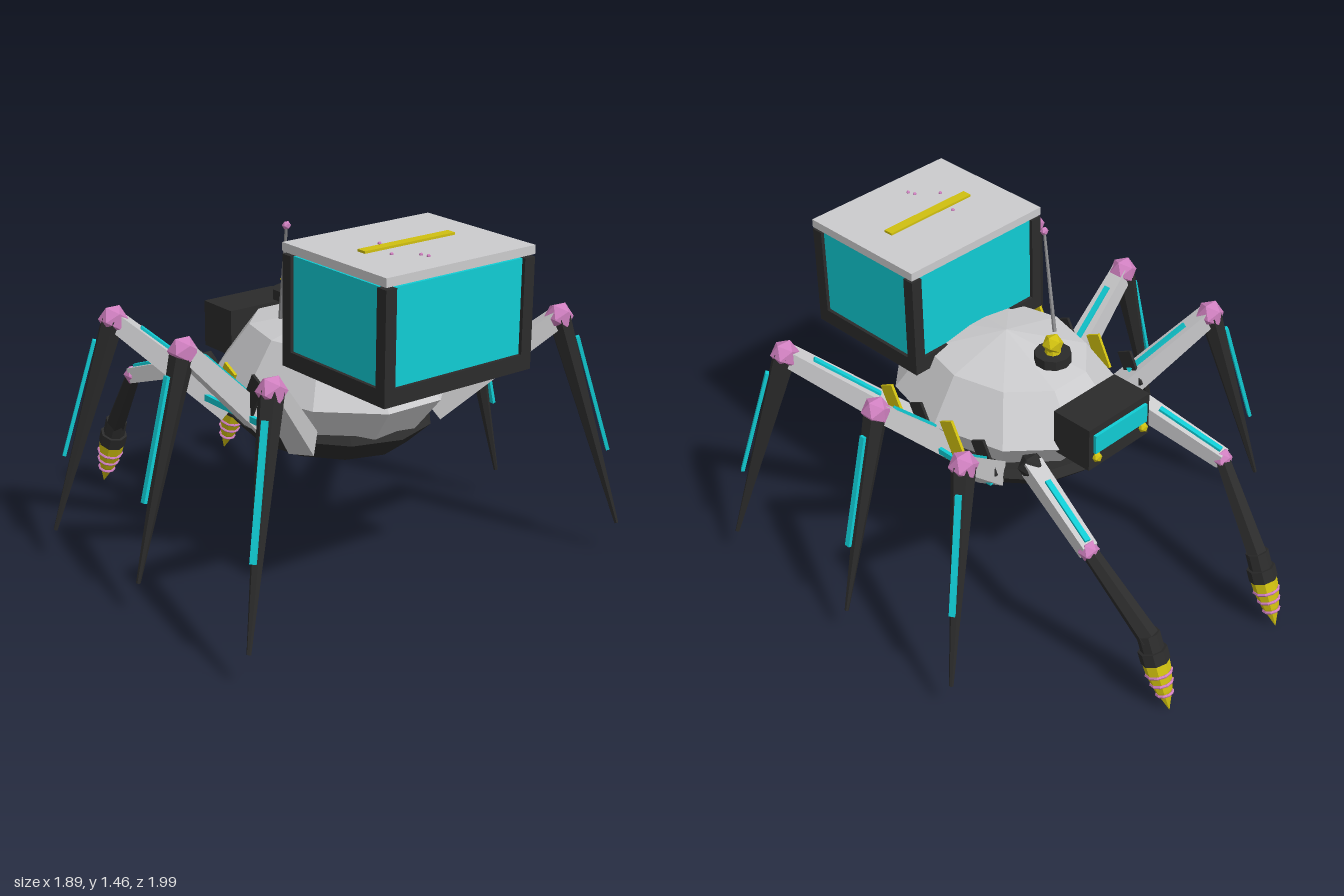
import * as THREE from 'three';

const mat = (name, color) => {
  const m = new THREE.MeshStandardMaterial({ color, flatShading: true });
  m.name = name;
  return m;
};

export function createModel() {
  const grey = mat('hull grey', 0xcbcbcd);
  const dark = mat('dark metal', 0x2b2b2b);
  const teal = mat('teal glass', 0x10ccd4);
  const pink = mat('pink joint', 0xd080c0);
  const yellow = mat('hazard yellow', 0xd0c010);
  const rod = mat('rod grey', 0x8a8a8c);

  const model = new THREE.Group();
  model.name = 'walker';
  const V = (x, y, z) => new THREE.Vector3(x, y, z);

  const add = (name, geo, material, pos = [0, 0, 0], parent = model) => {
    const m = new THREE.Mesh(geo, material);
    m.name = name;
    m.position.set(...pos);
    parent.add(m);
    return m;
  };
  const box = (name, size, material, pos, parent) =>
    add(name, new THREE.BoxGeometry(...size), material, pos, parent);
  const ball = (name, r, material, pos, detail = 0) =>
    add(name, new THREE.IcosahedronGeometry(r, detail), material, pos);

  // Group at a whose +y runs towards b and whose +z is the upper/outer side
  const strut = (name, a, b) => {
    const g = new THREE.Group();
    g.name = name;
    const y = b.clone().sub(a);
    g.userData.length = y.length();
    y.normalize();
    const x = y.clone().cross(V(0, 1, 0)).normalize();
    g.quaternion.setFromRotationMatrix(new THREE.Matrix4().makeBasis(x, y, x.clone().cross(y)));
    g.position.copy(a);
    model.add(g);
    return g;
  };
  // Tapered bar filling a strut, r0 at its start and r1 at its end
  const bar = (name, g, r0, r1, sides, material) => {
    const L = g.userData.length;
    const geo = new THREE.CylinderGeometry(r1, r0, L, sides);
    geo.rotateY(Math.PI / sides);
    return add(name, geo, material, [0, L / 2, 0], g);
  };
  // Light strip on the upper side of a strut, between fractions t0 and t1
  const strip = (g, t0, t1, z0, z1) => {
    const L = g.userData.length;
    const len = (t1 - t0) * L;
    const m = box('lightStrip', [0.024, len, 0.014], teal, [0, (t0 + t1) / 2 * L, (z0 + z1) / 2], g);
    m.rotation.x = Math.atan2(z1 - z0, len);
  };

  // Hull: faceted ellipsoid over a dark belly bowl
  const hull = add('hull', new THREE.SphereGeometry(1, 10, 4), grey, [0, 0.8, 0.245]);
  hull.scale.set(0.42, 0.27, 0.54);
  const bowl = [[0, 0.5], [0.78, 0.55], [1, 0.645], [0.93, 0.672], [0, 0.672]];
  const belly = add('belly', new THREE.LatheGeometry(bowl.map(p => new THREE.Vector2(...p)), 12), dark, [0, 0, 0.21]);
  belly.scale.set(0.4, 1, 0.48);

  // Tank with base, corner posts, glass and lid
  box('tankBase', [0.72, 0.065, 0.6], dark, [0, 0.978, 0.7]);
  box('tankGlass', [0.69, 0.375, 0.57], teal, [0, 1.197, 0.7]);
  for (const sx of [-1, 1]) for (const sz of [-1, 1])
    box('tankPost', [0.05, 0.378, 0.05], dark, [sx * 0.335, 1.197, 0.7 + sz * 0.275]);
  box('tankLid', [0.72, 0.035, 0.6], grey, [0, 1.413, 0.7]);
  box('lidStripe', [0.44, 0.01, 0.042], yellow, [0, 1.435, 0.692]);
  for (const [x, z] of [[-0.09, 0.64], [-0.15, 0.78], [-0.07, 0.85], [-0.06, 0.88]]) {
    ball('bubble', 0.008, pink, [x, 1.433, z]);
    ball('bubble', 0.007, pink, [x - 0.06, 1.39, z]);
  }
  ball('bubble', 0.007, pink, [0.06, 1.39, 0.7]);
  ball('bubble', 0.007, pink, [0.22, 1.39, 0.6]);

  // Head with window and lamps
  box('head', [0.35, 0.195, 0.19], dark, [0, 0.878, -0.291]);
  box('headWindow', [0.3, 0.085, 0.016], teal, [0, 0.9, -0.392]);

  // Roof beacon
  add('beaconBase', new THREE.CylinderGeometry(0.076, 0.076, 0.042, 10), dark, [0, 1.066, -0.02]);
  add('beaconStem', new THREE.CylinderGeometry(0.028, 0.034, 0.03, 8), yellow, [0, 1.1, -0.02]);
  ball('beaconLamp', 0.044, yellow, [0, 1.125, -0.02]);

  // Antenna
  const mast = strut('antenna', V(-0.17, 1.03, 0.135), V(-0.223, 1.44, 0.245));
  bar('antennaRod', mast, 0.009, 0.006, 6, rod);
  ball('antennaTip', 0.018, pink, [-0.223, 1.44, 0.245]);

  for (const s of [-1, 1]) {
    ball('headLamp', 0.022, yellow, [s * 0.135, 0.832, -0.392]);

    // Side trim: alternating slanted plates above a light strip
    [0.475, 0.3, 0.12, -0.06].forEach((z, i) => {
      const p = box('hazardPlate', [0.012, 0.155, 0.075], i % 2 ? dark : yellow, [s * 0.428, 0.81, z]);
      p.rotation.x = 0.48;
    });
    box('sideStrip', [0.016, 0.026, 0.44], teal, [s * 0.43, 0.71, 0.12]);

    // Walking legs: hip z, knee z, foot z
    for (const [hz, kz, fz] of [[0, -0.245, -0.378], [0.245, 0.245, 0.245], [0.49, 0.8, 0.965]]) {
      const hip = V(s * 0.33, 0.65, hz);
      const knee = V(s * 0.71, 1.035, kz);
      const foot = V(s * 0.938, 0.14, fz);
      const thigh = strut('thigh', hip, knee);
      bar('thighBeam', thigh, 0.07, 0.05, 4, grey);
      strip(thigh, 0.3, 0.82, 0.048, 0.041);
      const shin = strut('shin', knee, foot);
      bar('shinSpike', shin, 0.05, 0.009, 6, dark);
      strip(shin, 0.11, 0.65, 0.05, 0.045);
      ball('knee', 0.06, pink, knee.toArray());
    }

    // Drill arms
    const shoulder = V(s * 0.305, 0.775, -0.2);
    const elbow = V(s * 0.4, 0.637, -0.6);
    const wrist = V(s * 0.335, 0.31, -0.868);
    const tip = V(s * 0.335, 0.0, -0.988);
    ball('shoulder', 0.058, dark, shoulder.toArray());
    const upper = strut('upperArm', shoulder, elbow);
    bar('upperArmBeam', upper, 0.055, 0.046, 4, grey);
    strip(upper, 0.25, 0.95, 0.041, 0.037);
    const fore = strut('forearm', elbow, wrist);
    bar('forearmBar', fore, 0.034, 0.046, 6, dark);
    ball('elbow', 0.044, pink, elbow.toArray());

    // Drill: two-step collar, cone and rings along its axis
    const drill = strut('drill', wrist, tip);
    add('drillCollarTop', new THREE.CylinderGeometry(0.048, 0.048, 0.08, 8), dark, [0, 0.015, 0], drill);
    add('drillCollar', new THREE.CylinderGeometry(0.06, 0.06, 0.055, 8), dark, [0, 0.075, 0], drill);
    const cone = [[0, 0.1], [0.056, 0.1], [0.052, 0.16], [0.036, 0.235], [0, drill.userData.length]];
    // The profile is reversed so that its faces point outwards
    const coneGeo = new THREE.LatheGeometry(cone.map(p => new THREE.Vector2(...p)), 8);
    add('drillBit', coneGeo, yellow, [0, 0, 0], drill);
    for (const [y, r] of [[0.155, 0.052], [0.2, 0.044], [0.25, 0.033]]) {
      const ring = add('drillRing', new THREE.TorusGeometry(r, 0.007, 5, 10), pink, [0, y, 0], drill);
      ring.rotation.x = Math.PI / 2;
    }
  }
  return model;
}
